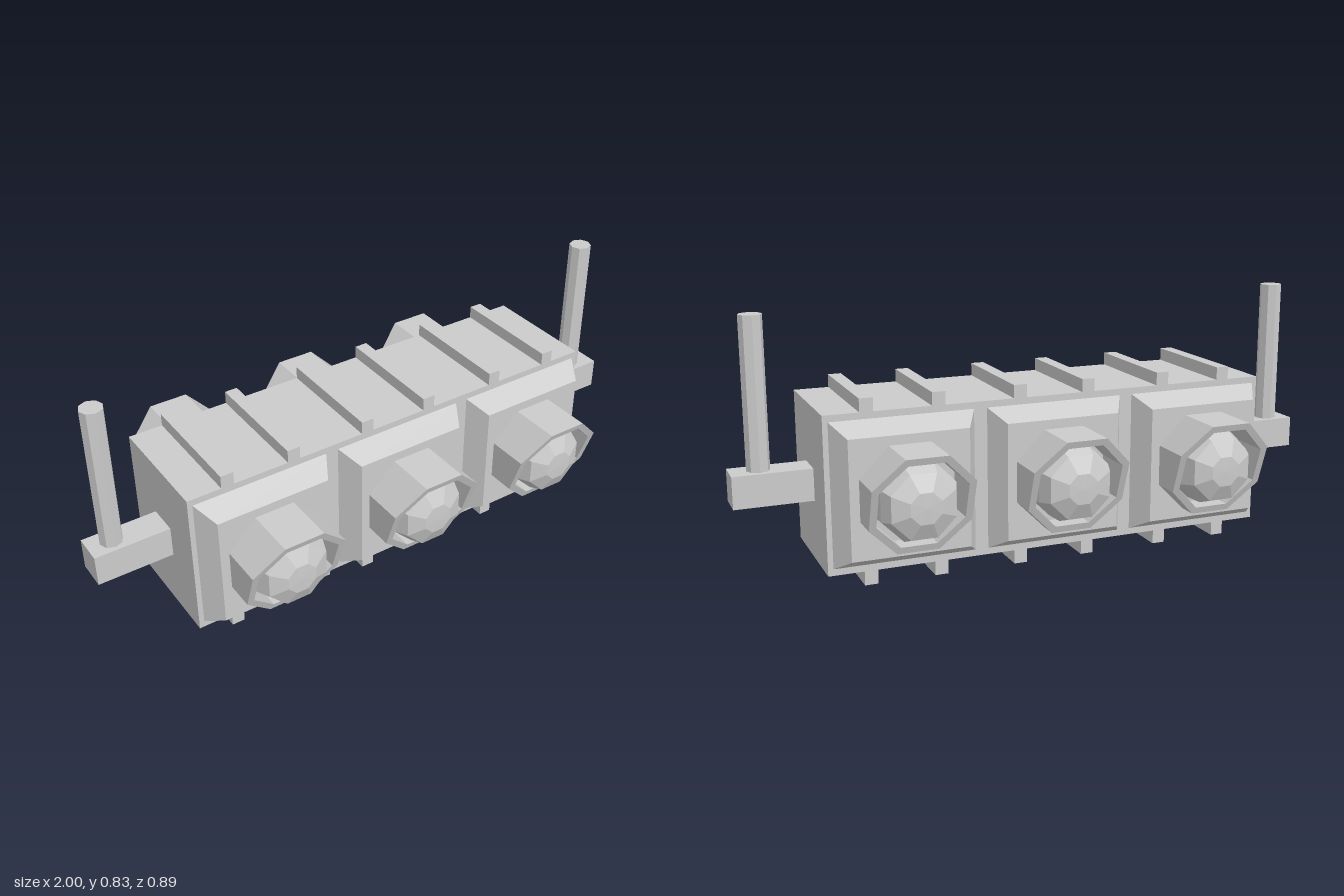
import * as THREE from 'three';

const MID_Y = 0.297;
const material = new THREE.MeshStandardMaterial({ color: 0xcccccc, flatShading: true });

function add(parent, name, geometry, x = 0, y = 0, z = 0) {
  const mesh = new THREE.Mesh(geometry, material);
  mesh.name = name;
  mesh.position.set(x, y, z);
  parent.add(mesh);
  return mesh;
}

// Octagon with flat top and sides, given its inner radius
function octagon(apothem, PathType) {
  const r = apothem / Math.cos(Math.PI / 8);
  const points = [];
  for (let i = 0; i < 8; i++) {
    const a = Math.PI / 8 + (i * Math.PI) / 4;
    points.push(new THREE.Vector2(r * Math.cos(a), r * Math.sin(a)));
  }
  return new PathType(points);
}

// Octagonal tube whose front end is cut on a slant, longest at the top
function hoodGeometry() {
  const shape = octagon(0.16, THREE.Shape);
  shape.holes.push(octagon(0.138, THREE.Path));
  const geometry = new THREE.ExtrudeGeometry(shape, { depth: 1, bevelEnabled: false });
  const p = geometry.attributes.position;
  for (let i = 0; i < p.count; i++) {
    const front = 0.33 + ((p.getY(i) + 0.16) / 0.32) * 0.113;
    p.setZ(i, p.getZ(i) > 0.5 ? front : 0.26);
  }
  geometry.computeVertexNormals();
  return geometry;
}

// Faceted eight-sided dome pointing along +z
function lensGeometry() {
  const k = 1 / Math.cos(Math.PI / 8);
  const profile = [[0.122, 0.26], [0.118, 0.345], [0.1, 0.395], [0.048, 0.42], [0, 0.422]];
  const points = profile.map(([r, z]) => new THREE.Vector2(r * k, z));
  return new THREE.LatheGeometry(points, 8, Math.PI / 8).rotateX(Math.PI / 2);
}

export function createModel() {
  const model = new THREE.Group();
  model.name = 'signalLight';

  add(model, 'housing', new THREE.BoxGeometry(1.5, 0.503, 0.392), 0, MID_Y, 0);

  // Ribs above and below the housing
  const rib = new THREE.BoxGeometry(0.043, 0.06, 0.392);
  for (const x of [-0.615, -0.387, -0.118, 0.118, 0.387, 0.615]) {
    add(model, 'topRib', rib, x, 0.561, 0);
    add(model, 'bottomRib', rib, x, 0.03, 0);
  }

  // Three lamps on each face
  const panel = new THREE.CylinderGeometry(0.19 * Math.SQRT2, 0.23 * Math.SQRT2, 0.073, 4, 1, false, Math.PI / 4)
    .rotateX(Math.PI / 2);
  const hood = hoodGeometry();
  const lens = lensGeometry();
  for (const side of ['front', 'back']) {
    const face = new THREE.Group();
    face.name = side + 'Lamps';
    face.rotation.y = side === 'back' ? Math.PI : 0;
    for (const x of [-0.503, 0, 0.503]) {
      add(face, 'panel', panel, x, MID_Y, 0.2325);
      add(face, 'hood', hood, x, MID_Y, 0);
      add(face, 'lens', lens, x, MID_Y, 0);
    }
    model.add(face);
  }

  // Side arms with upright poles
  const arm = new THREE.BoxGeometry(0.25, 0.104, 0.102);
  const pole = new THREE.CylinderGeometry(0.037, 0.037, 0.487, 8);
  add(model, 'leftArm', arm, 0.875, MID_Y, 0);
  add(model, 'rightArm', arm, -0.875, MID_Y, 0);
  add(model, 'leftPole', pole, 0.91, 0.5895, 0);
  add(model, 'rightPole', pole, -0.923, 0.5895, 0);

  return model;
}
